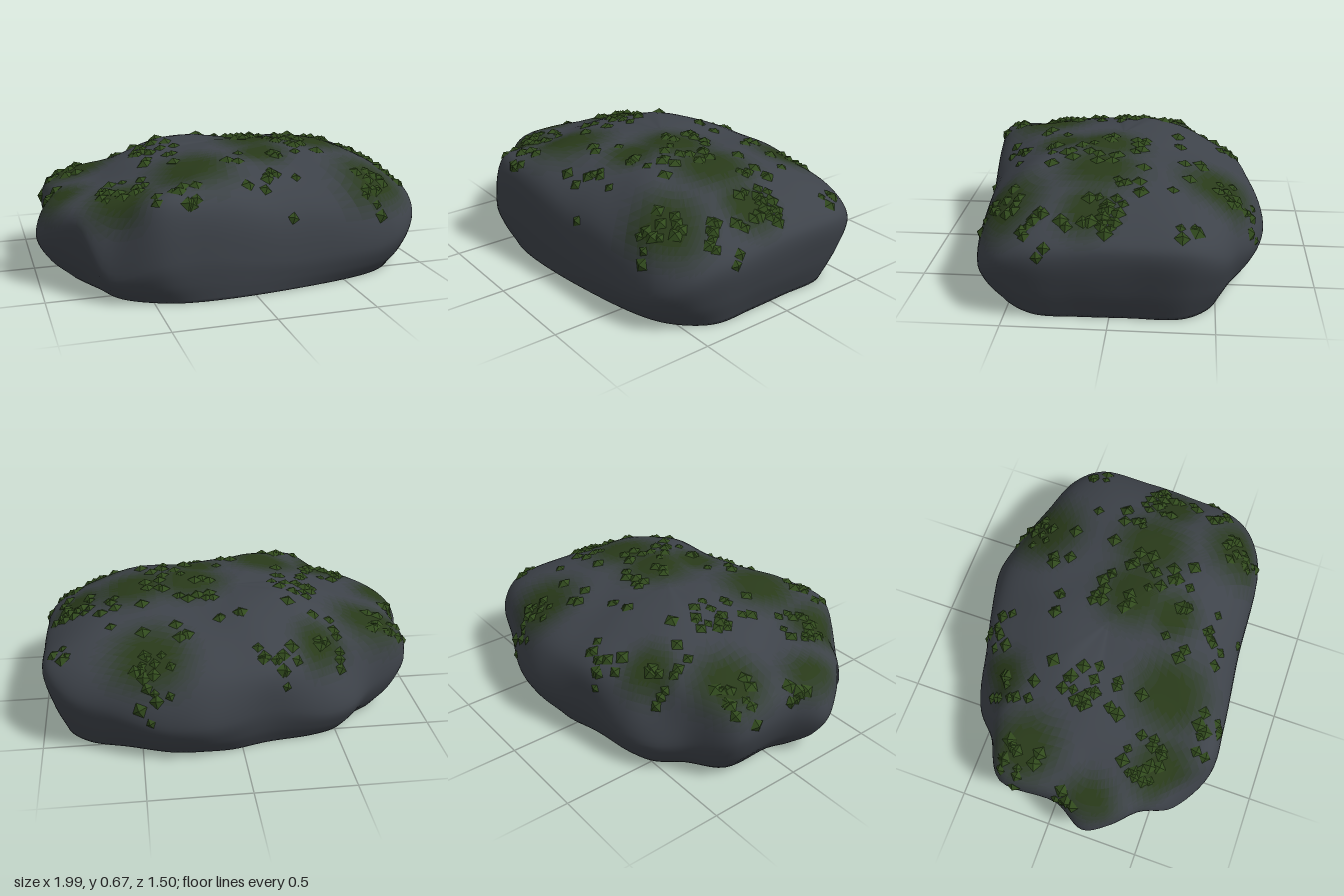
import * as THREE from 'three';
import { mergeGeometries } from 'three/addons/utils/BufferGeometryUtils.js';

// Outline of the boulder: x, z, height of widest point, foot scale, shoulder height, shoulder scale
const OUTLINE = [
  [0.98, -0.1, 0.37, 0.90, 0.44, 0.94], [0.97, -0.38, 0.38, 0.90, 0.45, 0.94],
  [0.87, -0.53, 0.32, 0.88, 0.44, 0.92], [0.65, -0.62, 0.26, 0.87, 0.42, 0.92],
  [0.40, -0.72, 0.21, 0.86, 0.41, 0.90], [0.22, -0.75, 0.21, 0.84, 0.41, 0.90],
  [0.06, -0.72, 0.22, 0.87, 0.42, 0.92], [-0.15, -0.65, 0.24, 0.89, 0.43, 0.96],
  [-0.42, -0.61, 0.17, 0.89, 0.42, 0.87], [-0.57, -0.55, 0.17, 0.89, 0.41, 0.83],
  [-0.70, -0.43, 0.20, 0.87, 0.41, 0.92], [-0.91, -0.29, 0.28, 0.84, 0.41, 0.96],
  [-0.92, 0.03, 0.30, 0.85, 0.42, 0.96], [-1.0, 0.2, 0.25, 0.82, 0.41, 0.93],
  [-0.94, 0.33, 0.31, 0.83, 0.42, 0.95], [-0.83, 0.45, 0.36, 0.87, 0.44, 0.95],
  [-0.71, 0.62, 0.14, 0.90, 0.45, 0.88], [-0.5, 0.745, 0.22, 0.90, 0.50, 0.94],
  [-0.28, 0.74, 0.24, 0.95, 0.50, 0.95], [0.2, 0.70, 0.17, 0.96, 0.40, 0.94],
  [0.75, 0.65, 0.20, 0.88, 0.39, 0.93], [0.91, 0.54, 0.28, 0.88, 0.40, 0.93],
  [0.97, 0.38, 0.34, 0.91, 0.42, 0.95], [0.98, 0.15, 0.36, 0.905, 0.43, 0.95],
];
// Moss patches: x, z, radius
const PATCHES = [
  [0.2, 0.07, 0.23], [0.5, 0.07, 0.24], [-0.25, 0.42, 0.24], [0.45, -0.52, 0.24], [-0.73, -0.2, 0.22],
  [-0.9, 0.2, 0.18], [-0.62, 0.5, 0.2], [0.7, 0.53, 0.24], [-0.42, -0.45, 0.16], [0.8, 0.1, 0.16], [0.15, 0.3, 0.16],
];
// Tuft clusters: x, z, spread, count
const CLUSTERS = [
  [-0.2, -0.52, 0.12, 12], [-0.47, -0.4, 0.1, 8], [0.43, -0.6, 0.11, 14], [-0.82, -0.2, 0.14, 14],
  [-0.42, -0.12, 0.19, 14], [-0.32, 0.15, 0.14, 8], [0.16, -0.05, 0.12, 8], [0.3, 0.17, 0.22, 18],
  [0.7, -0.04, 0.13, 12], [0.86, 0.1, 0.13, 14], [0.9, 0.35, 0.11, 9], [0.68, 0.55, 0.12, 12],
  [-0.6, 0.43, 0.14, 16], [-0.92, 0.08, 0.06, 6], [-0.38, 0.66, 0.11, 10], [0.1, 0.45, 0.18, 9],
  [0.45, -0.35, 0.22, 8], [0.02, -0.33, 0.1, 4], [0.15, 0.62, 0.2, 5], [0.9, -0.35, 0.08, 4],
];
const COLS = 144, ROWS = 40, BANDS = 9;

const bump = (x, z, cx, cz, r) => Math.exp(-((x - cx) ** 2 + (z - cz) ** 2) / (r * r));

// Height of the crown: a lopsided dome with three humps
function crown(x, z) {
  return 0.622 - (x < 0 ? 0.28 : 0.1) * x * x - (z < 0 ? 0.38 : 0.22) * z * z
    + 0.045 * bump(x, z, 0.38, 0.22, 0.25) + 0.035 * bump(x, z, -0.2, -0.1, 0.2)
    + 0.035 * bump(x, z, -0.22, 0.42, 0.25);
}

function makeRock() {
  // Closed rings from the foot up to the crown
  const scaled = (s) => OUTLINE.map(([x, z]) => new THREE.Vector3(x * s, crown(x * s, z * s), z * s));
  const rings = [
    OUTLINE.map(([x, z, , f]) => new THREE.Vector3(x * f, 0, z * f)),
    OUTLINE.map(([x, z, y, f]) => {
      const s = f + (1 - f) * 0.65;
      return new THREE.Vector3(x * s, y * 0.45, z * s);
    }),
    OUTLINE.map(([x, z, y]) => new THREE.Vector3(x, y, z)),
    OUTLINE.map(([x, z, , , y, s]) => new THREE.Vector3(x * s, y, z * s)),
    scaled(0.66), scaled(0.33),
  ].map((pts) => new THREE.CatmullRomCurve3(pts, true));

  const pos = [], pole = COLS * ROWS, footCentre = pole + 1;
  for (let i = 0; i < COLS; i++) {
    const points = rings.map((c) => c.getPoint(i / COLS));
    points.push(new THREE.Vector3(0, crown(0, 0), 0));
    const rib = new THREE.CatmullRomCurve3(points);
    for (let j = 0; j < ROWS; j++) {
      const p = rib.getPoint(j / ROWS);
      // Gentle unevenness, fading out at the foot and the crown's middle
      const n = Math.sin(9 * p.x + 5 * p.y) * Math.sin(8 * p.z - 6 * p.y + 1) + 0.5 * Math.sin(17 * p.x - 11 * p.z + 9 * p.y);
      p.y += 0.006 * n * Math.min(1, p.y * 4, (1 - j / ROWS) * 5);
      pos.push(p.x, p.y, p.z);
    }
  }
  pos.push(0, crown(0, 0), 0, 0, 0, 0);

  // Sort the faces into bands from bare stone to full moss
  const bands = Array.from({ length: BANDS }, () => []);
  const addFace = (...ids) => {
    const mean = (k) => ids.reduce((sum, id) => sum + pos[id * 3 + k] / 3, 0);
    const [x, y, z] = [mean(0), mean(1), mean(2)];
    const cover = PATCHES.reduce((m, [cx, cz, r]) => Math.max(m, bump(x, z, cx, cz, r)), 0);
    const amount = THREE.MathUtils.smoothstep(cover, 0.15, 0.95) * THREE.MathUtils.smoothstep(y, 0.28, 0.45);
    bands[Math.round(amount * (BANDS - 1))].push(...ids);
  };
  const id = (i, j) => (j === ROWS ? pole : (i % COLS) * ROWS + j);
  for (let i = 0; i < COLS; i++) {
    addFace(footCentre, id(i + 1, 0), id(i, 0)); // flat underside
    for (let j = 0; j < ROWS; j++) {
      addFace(id(i, j), id(i + 1, j), id(i + 1, j + 1));
      if (j < ROWS - 1) addFace(id(i, j), id(i + 1, j + 1), id(i, j + 1));
    }
  }

  const geo = new THREE.BufferGeometry();
  geo.setAttribute('position', new THREE.Float32BufferAttribute(pos, 3));
  geo.setIndex(bands.flat());
  geo.computeVertexNormals();
  let start = 0;
  bands.forEach((b, k) => {
    geo.addGroup(start, b.length, k);
    start += b.length;
  });
  const stone = new THREE.Color(0x3e434a), moss = new THREE.Color(0x293a1a);
  const materials = bands.map((_, k) =>
    new THREE.MeshStandardMaterial({ color: stone.clone().lerp(moss, k / (BANDS - 1)) }));
  const rock = new THREE.Mesh(geo, materials);
  rock.name = 'rock';
  return rock;
}

// Small flattened diamonds of moss resting on the rock
function makeTufts(rock) {
  let seed = 7;
  const rand = () => (seed = (seed * 16807) % 2147483647) / 2147483647;
  const ray = new THREE.Raycaster(), down = new THREE.Vector3(0, -1, 0), up = new THREE.Vector3(0, 1, 0);
  const tufts = [];
  for (const [cx, cz, spread, count] of CLUSTERS) {
    for (let k = 0; k < count; k++) {
      const a = rand() * Math.PI * 2, r = spread * Math.sqrt(rand());
      ray.set(new THREE.Vector3(cx + r * Math.cos(a), 2, cz + r * Math.sin(a)), down);
      const hit = ray.intersectObject(rock)[0];
      if (!hit || hit.point.y < 0.2) continue;
      const size = 0.025 + 0.018 * rand();
      const turn = new THREE.Quaternion().setFromUnitVectors(up, hit.face.normal)
        .multiply(new THREE.Quaternion().setFromAxisAngle(up, (rand() - 0.5) * 0.5));
      const place = new THREE.Matrix4().compose(hit.point, turn, new THREE.Vector3(size, size * 0.55, size));
      tufts.push(new THREE.OctahedronGeometry(1).applyMatrix4(place));
    }
  }
  const mesh = new THREE.Mesh(mergeGeometries(tufts),
    new THREE.MeshStandardMaterial({ color: 0x314a1d, flatShading: true }));
  mesh.name = 'mossTufts';
  return mesh;
}

export function createModel() {
  const group = new THREE.Group();
  group.name = 'mossyRock';
  const rock = makeRock();
  group.add(rock, makeTufts(rock));
  return group;
}
